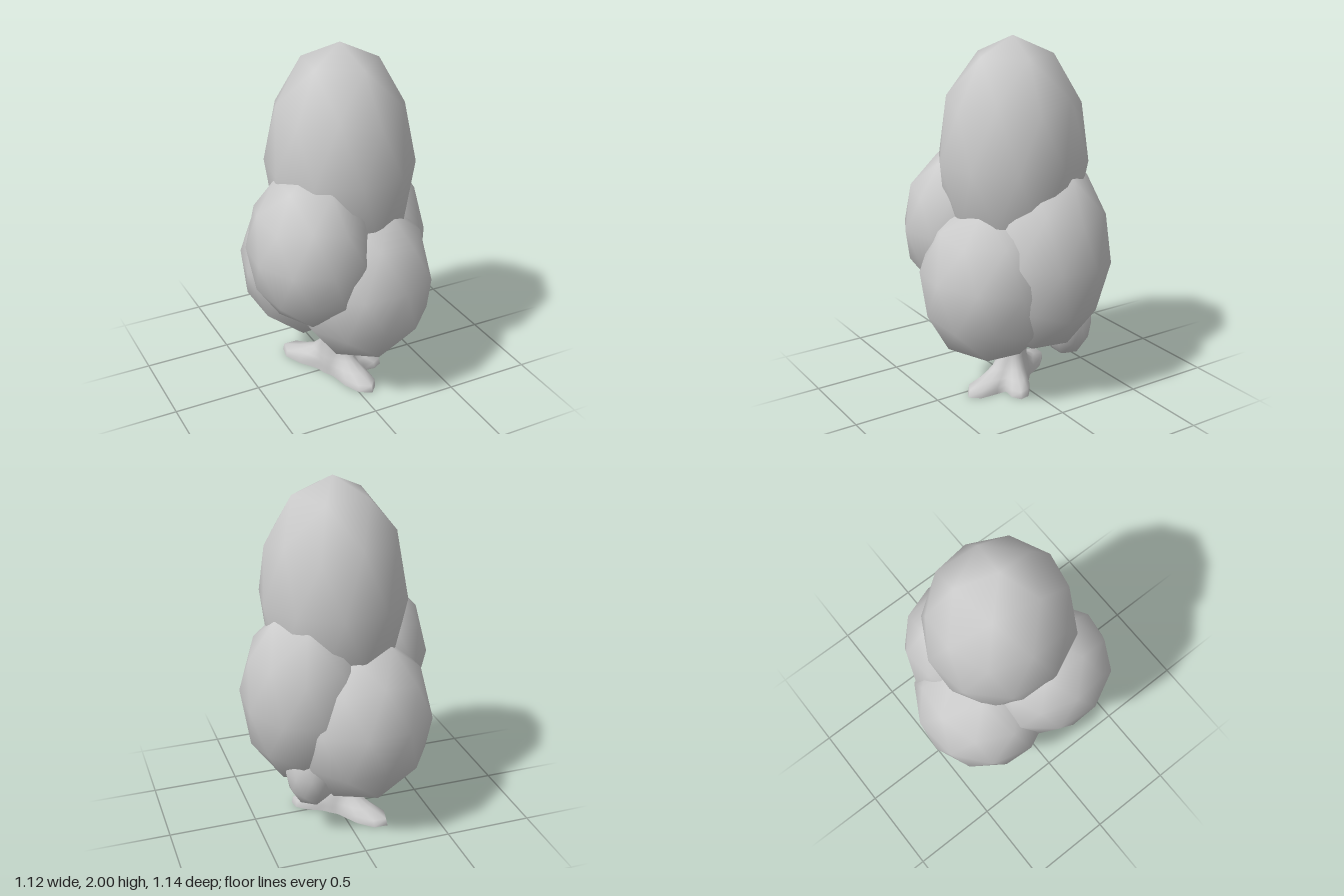
import * as THREE from 'three';
import { mergeVertices } from 'three/addons/utils/BufferGeometryUtils.js';

const material = new THREE.MeshStandardMaterial({ color: 0xcccccc });

// Low-poly egg: a subdivided icosahedron standing on one vertex, smooth shaded
function leafClump(name, [x, y, z], [rx, ry, rz], yaw, tiltX = 0, tiltZ = 0) {
  let geo = new THREE.IcosahedronGeometry(1, 1);
  geo.deleteAttribute('uv');
  geo.deleteAttribute('normal');
  geo = mergeVertices(geo, 1e-3);
  geo.rotateX(-Math.atan2((1 + Math.sqrt(5)) / 2, 1));
  geo.rotateY(yaw);
  geo.scale(rx, ry, rz);
  geo.rotateX(tiltX);
  geo.rotateZ(tiltZ);
  geo.computeVertexNormals();
  const mesh = new THREE.Mesh(geo, material);
  mesh.name = name;
  mesh.position.set(x, y, z);
  return mesh;
}

// Trunk: rings whose radius swells toward three roots near the ground
function trunk() {
  const roots = [[0.07, 0.34], [0.25, 0.1], [-0.2, -0.31]].map(([x, z]) => ({
    angle: Math.atan2(z, x), reach: Math.hypot(x, z),
  }));
  // [height, core radius, how far the roots stretch]
  const rings = [[0, 0.1, 1], [0.04, 0.1, 0.96], [0.07, 0.1, 0.55],
    [0.11, 0.095, 0.22], [0.17, 0.083, 0.04], [0.26, 0.08, 0], [0.5, 0.08, 0]];
  const sides = 32;
  const pos = [], index = [];
  for (const [y, core, stretch] of rings) {
    for (let i = 0; i < sides; i++) {
      const a = (i / sides) * Math.PI * 2;
      let r = core;
      for (const root of roots) {
        const swell = Math.exp(-((1 - Math.cos(a - root.angle)) / 0.1));
        r = Math.max(r, core + (root.reach - core) * stretch * swell);
      }
      pos.push(r * Math.cos(a), y, r * Math.sin(a));
    }
  }
  for (let k = 0; k < rings.length - 1; k++) {
    for (let i = 0; i < sides; i++) {
      const a = k * sides + i, b = k * sides + ((i + 1) % sides);
      index.push(a, a + sides, b, b, a + sides, b + sides);
    }
  }
  // Flat sole with its own vertices, so its rim stays sharp
  const sole = pos.length / 3;
  pos.push(...pos.slice(0, sides * 3), 0, 0, 0);
  for (let i = 0; i < sides; i++) index.push(sole + sides, sole + i, sole + ((i + 1) % sides));

  const geo = new THREE.BufferGeometry();
  geo.setAttribute('position', new THREE.Float32BufferAttribute(pos, 3));
  geo.setIndex(index);
  geo.computeVertexNormals();
  const mesh = new THREE.Mesh(geo, material);
  mesh.name = 'trunk';
  return mesh;
}

export function createModel() {
  const tree = new THREE.Group();
  tree.name = 'tree';
  tree.add(
    trunk(),
    leafClump('crownTop', [0.02, 1.34, 0.01], [0.41, 0.66, 0.42], 0.14),
    leafClump('frontClump', [0.07, 0.69, 0.18], [0.4, 0.48, 0.4], 0.5, -0.15),
    leafClump('rightClump', [-0.23, 0.93, 0.15], [0.34, 0.45, 0.38], 0.2),
    leafClump('leftClump', [0.2, 0.81, -0.07], [0.37, 0.55, 0.38], 0.3, -0.12),
    leafClump('backClump', [-0.07, 0.68, -0.19], [0.41, 0.49, 0.39], 0.1, 0.12),
    leafClump('smallClump', [0.22, 0.41, -0.22], [0.15, 0.22, 0.15], 0),
  );
  return tree;
}
